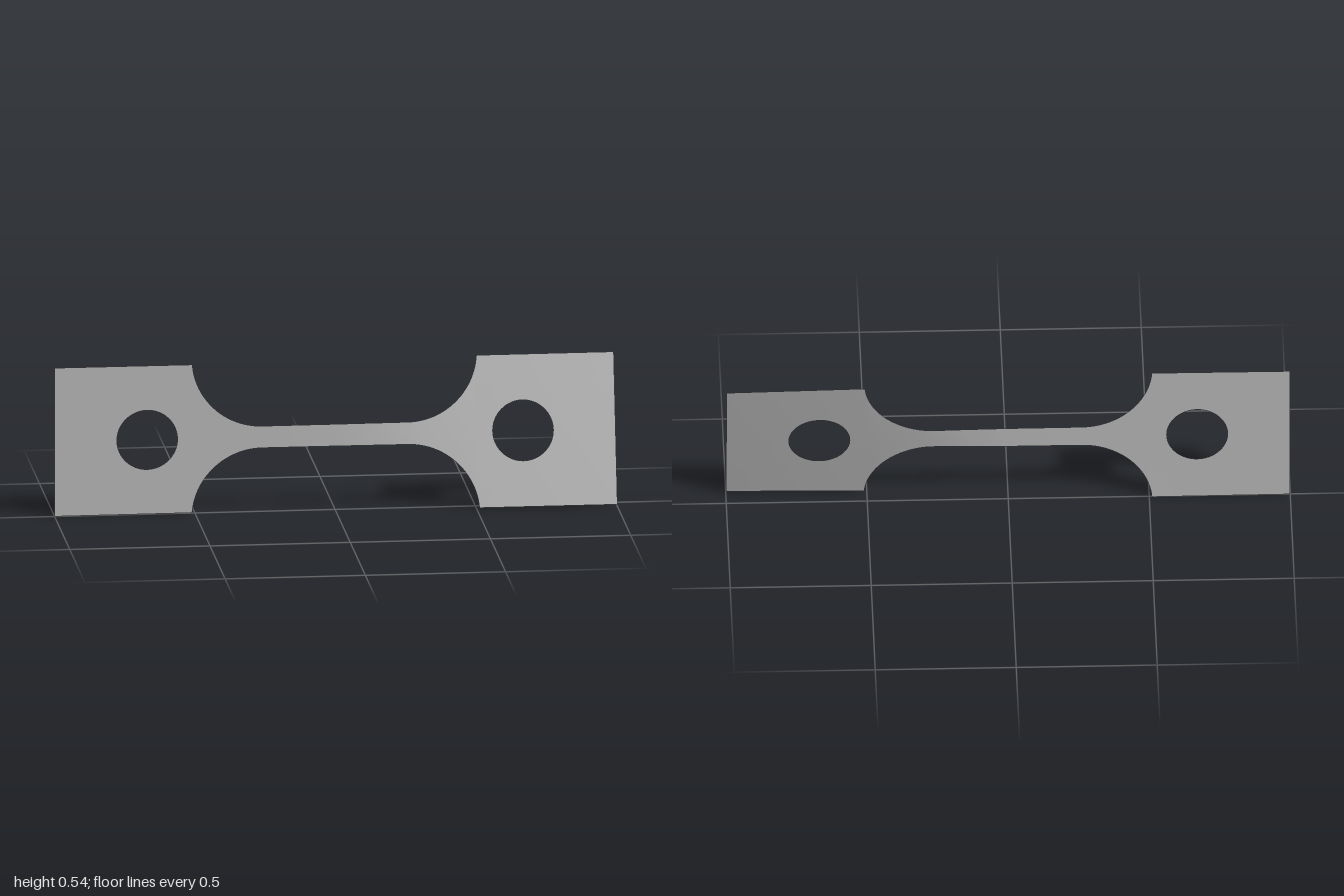
import * as THREE from 'three';
import { mergeVertices } from 'three/addons/utils/BufferGeometryUtils.js';

const HALF = 0.271, NECK = 0.04, FILLET = 0.25, FILLET_X = 0.26;
const HOLE_X = 0.67, HOLE_R = 0.108;
const FILLET_END = FILLET_X + Math.sqrt(FILLET ** 2 - (NECK + FILLET - HALF) ** 2);

// Half height of the outline: wide tab, concave fillet, narrow neck
function outer(x) {
  const a = Math.abs(x);
  if (a >= FILLET_END - 1e-6) return HALF;
  if (a <= FILLET_X) return NECK;
  return NECK + FILLET - Math.sqrt(FILLET ** 2 - (a - FILLET_X) ** 2);
}

// Half height of the round hole
function inner(x) {
  const d = Math.abs(x) - HOLE_X;
  return Math.sqrt(Math.max(0, HOLE_R ** 2 - d * d));
}

// Twist along the bar, in degrees
const TWIST = [[-1, -0.3], [-0.5, -0.8], [-0.3, -0.8], [0, 0.5], [0.15, 4], [0.3, 8.8], [0.5, 11.3], [1, 13.2]];
function twist(x) {
  let i = 0;
  while (i < TWIST.length - 2 && x > TWIST[i + 1][0]) i++;
  const [x0, a0] = TWIST[i], [x1, a1] = TWIST[i + 1];
  return THREE.MathUtils.degToRad(a0 + (a1 - a0) * (x - x0) / (x1 - x0));
}

// Column positions, dense around the fillets and holes
function columns() {
  const half = [];
  for (let i = 1; i <= 10; i++) half.push(FILLET_X * i / 10);
  const end = Math.asin((FILLET_END - FILLET_X) / FILLET);
  for (let i = 1; i <= 24; i++) half.push(FILLET_X + FILLET * Math.sin(end * i / 24));
  for (let i = 0; i <= 32; i++) half.push(HOLE_X - HOLE_R * Math.cos(Math.PI * i / 32));
  for (let i = 1; i <= 4; i++) half.push(HOLE_X + HOLE_R + (1 - HOLE_X - HOLE_R) * i / 4);
  return [...half.map(x => -x).reverse(), 0, ...half];
}

function twistedSheet() {
  const pos = [], index = [], xs = columns(), ROWS = 4;
  for (const side of [1, -1]) {
    const base = pos.length / 3;
    xs.forEach((x, c) => {
      const t = twist(x), lo = inner(x), hi = outer(x);
      for (let r = 0; r <= ROWS; r++) {
        const y = side * (lo + (hi - lo) * r / ROWS);
        pos.push(x, HALF + y * Math.cos(t), -y * Math.sin(t));
        if (c && r) {
          const d = base + c * (ROWS + 1) + r, b = d - ROWS - 1;
          if (side > 0) index.push(b - 1, d - 1, d, b - 1, d, b);
          else index.push(b - 1, d, d - 1, b - 1, b, d);
        }
      }
    });
  }
  let g = new THREE.BufferGeometry();
  g.setAttribute('position', new THREE.Float32BufferAttribute(pos, 3));
  g.setIndex(index);
  g = mergeVertices(g, 1e-5);
  g.computeVertexNormals();
  return g;
}

export function createModel() {
  const grey = new THREE.MeshStandardMaterial({ color: 0xbcbcbc, side: THREE.DoubleSide });
  grey.name = 'sheetGrey';
  const group = new THREE.Group();
  group.name = 'twistedTestStrip';
  const sheet = new THREE.Mesh(twistedSheet(), grey);
  sheet.name = 'twistedSheet';
  group.add(sheet);
  return group;
}
